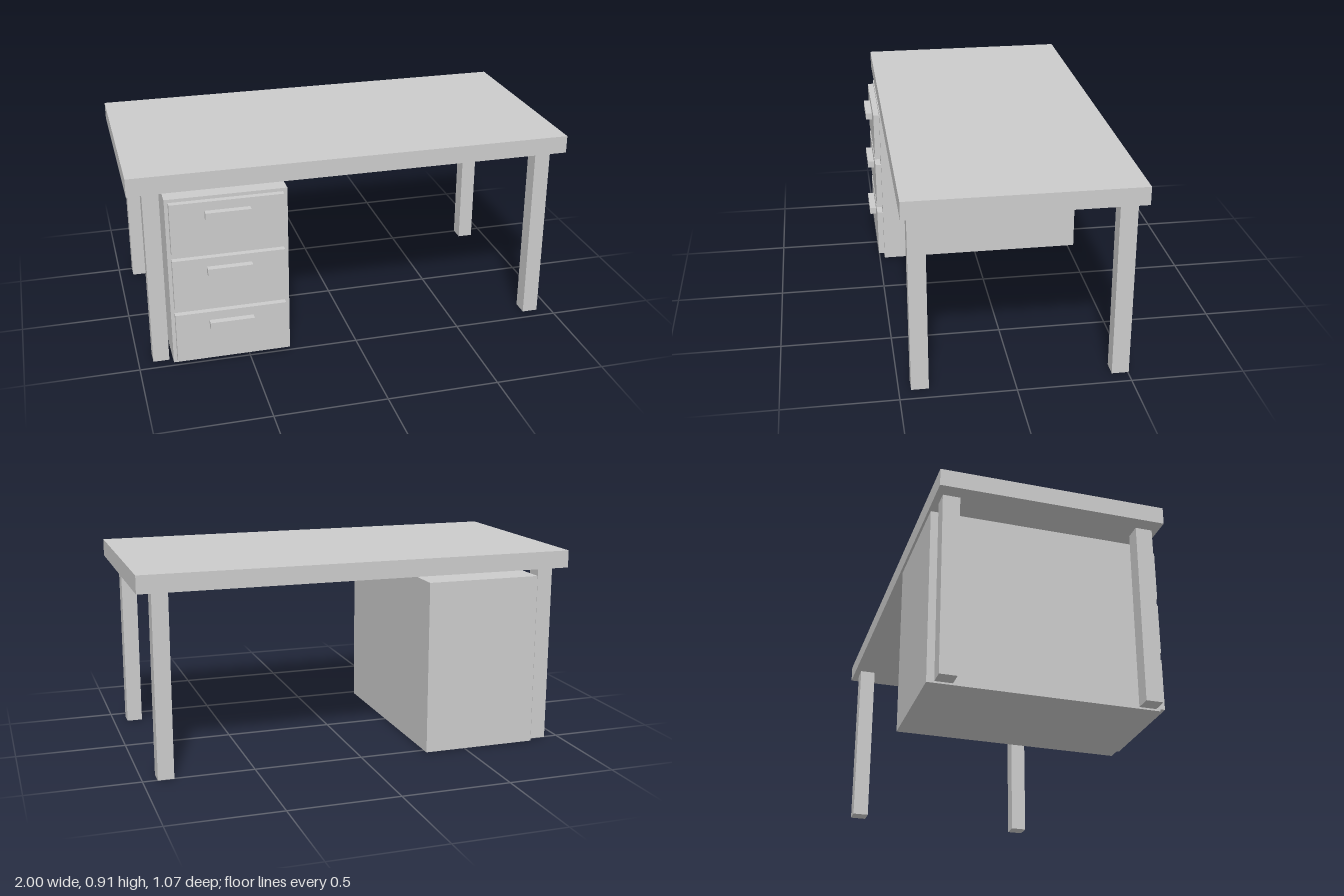
import * as THREE from 'three';

export function createModel() {
  const desk = new THREE.Group();
  desk.name = 'desk';
  const material = new THREE.MeshStandardMaterial({ color: 0xcccccc, flatShading: true });

  // Box given by its lower and upper limits on each axis
  function box(name, [x0, x1], [y0, y1], [z0, z1], parent = desk) {
    const mesh = new THREE.Mesh(new THREE.BoxGeometry(x1 - x0, y1 - y0, z1 - z0), material);
    mesh.position.set((x0 + x1) / 2, (y0 + y1) / 2, (z0 + z1) / 2);
    mesh.name = name;
    parent.add(mesh);
  }

  // Desk top
  box('deskTop', [-1, 1], [0.829, 0.909], [-0.533, 0.475]);

  // Four square legs
  for (const x of [-0.898, 0.898]) {
    for (const [end, z] of [['front', 0.409], ['back', -0.466]]) {
      const side = x > 0 ? 'Left' : 'Right';
      box(`${end}${side}Leg`, [x - 0.036, x + 0.036], [0, 0.829], [z - 0.038, z + 0.038]);
    }
  }

  // Drawer pedestal
  const pedestal = new THREE.Group();
  pedestal.name = 'drawerPedestal';
  desk.add(pedestal);
  box('cabinet', [-0.845, -0.309], [0, 0.798], [-0.533, 0.475], pedestal);

  // Three drawer fronts with bar handles
  for (let i = 0; i < 3; i++) {
    const y = 0.017 + i * 0.266;
    const drawer = new THREE.Group();
    drawer.name = `drawer${i + 1}`;
    pedestal.add(drawer);
    box('drawerFront', [-0.829, -0.329], [y, y + 0.234], [0.475, 0.503], drawer);
    box('drawerHandle', [-0.679, -0.48], [y + 0.16, y + 0.193], [0.503, 0.534], drawer);
  }

  return desk;
}
